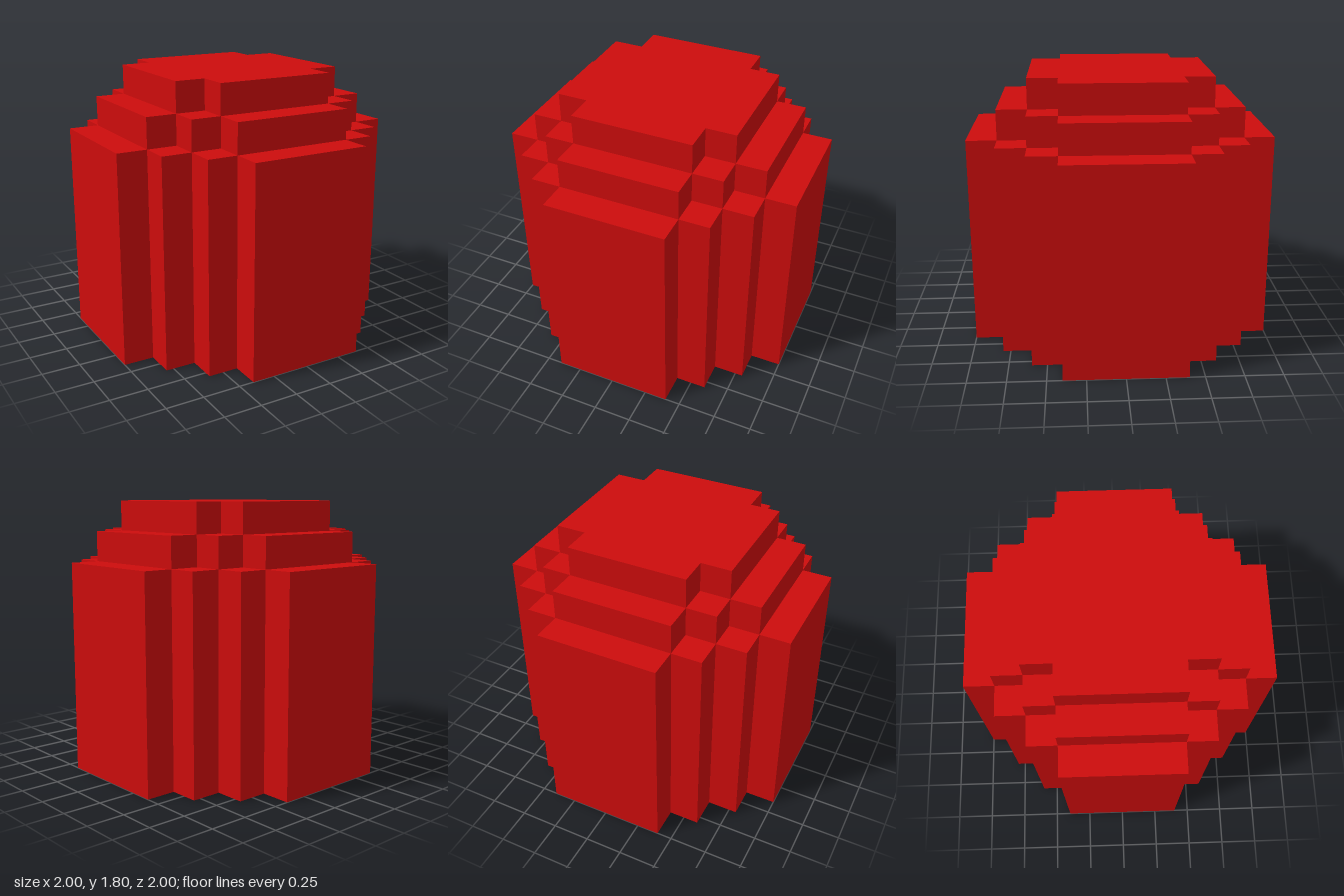
import * as THREE from 'three';

const STEP = 0.2; // size of one stair step
const CORE = 0.4; // half width of each flat side

// Round-ish stepped outline: one quadrant of stairs, turned four times
function steppedOutline(steps) {
  const half = CORE + STEP * steps;
  const quadrant = [new THREE.Vector2(half, CORE)];
  for (let i = 1; i <= steps; i++) {
    const x = half - STEP * i;
    quadrant.push(new THREE.Vector2(x, CORE + STEP * (i - 1)));
    quadrant.push(new THREE.Vector2(x, CORE + STEP * i));
  }
  const points = [];
  for (let turn = 0; turn < 4; turn++) {
    for (const p of quadrant) {
      points.push(p.clone());
      p.set(-p.y, p.x);
    }
  }
  return new THREE.Shape(points);
}

export function createModel() {
  const model = new THREE.Group();
  model.name = 'steppedDrum';
  const red = new THREE.MeshStandardMaterial({ color: 0xcc0c0c });
  red.name = 'red';

  // Three stacked tiers, each one step smaller than the one below
  const tiers = [
    { name: 'body', steps: 3, bottom: 0, height: 1.4 },
    { name: 'shoulder', steps: 2, bottom: 1.4, height: 0.2 },
    { name: 'cap', steps: 1, bottom: 1.6, height: 0.2 },
  ];
  for (const { name, steps, bottom, height } of tiers) {
    const geometry = new THREE.ExtrudeGeometry(steppedOutline(steps), {
      depth: height,
      bevelEnabled: false,
    });
    geometry.rotateX(-Math.PI / 2);
    const tier = new THREE.Mesh(geometry, red);
    tier.name = name;
    tier.position.y = bottom;
    model.add(tier);
  }
  return model;
}
